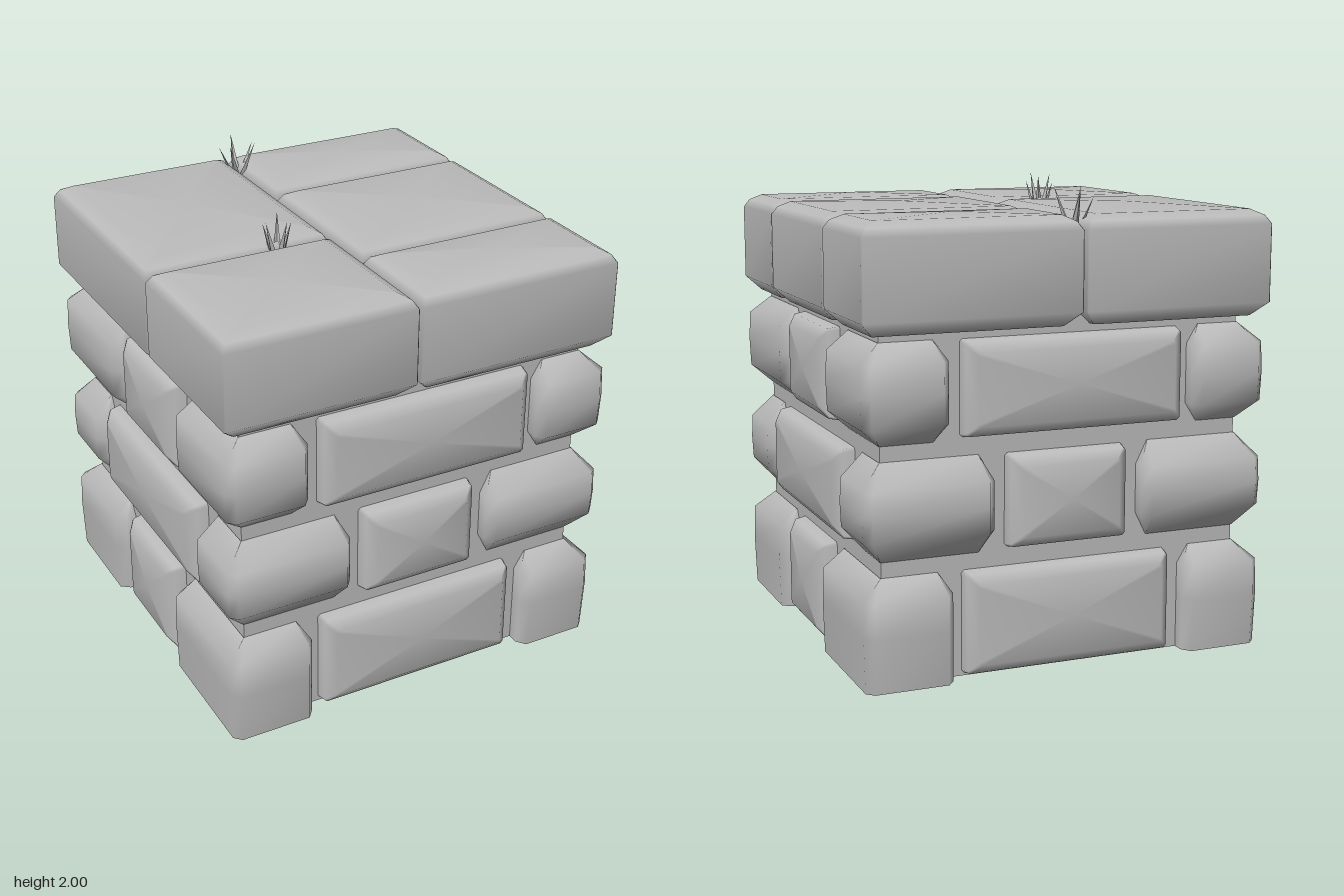
import * as THREE from 'three';

const WALL = 0.8; // half width of the hollow core
const TOP = 1.77; // height of the core

const stone = new THREE.MeshStandardMaterial({ color: 0xbcbcbc, side: THREE.DoubleSide });
stone.name = 'grey stone';

// Skins a list of cross-sections with shared vertices, so the stones shade smoothly.
function loft(rings, closed, capStart, capEnd) {
  const n = rings[0].length;
  const pos = rings.flat(2);
  const index = [];
  const last = closed ? n : n - 1;
  for (let i = 0; i < rings.length - 1; i++) {
    for (let j = 0; j < last; j++) {
      const k = (j + 1) % n;
      const a = i * n + j, b = i * n + k, c = a + n, d = b + n;
      index.push(a, b, d, a, d, c);
    }
  }
  const cap = (r, flip, lift) => {
    const centre = pos.length / 3;
    const sum = [0, 0, 0];
    rings[r].forEach((p) => p.forEach((v, i) => { sum[i] += v / n; }));
    pos.push(sum[0], sum[1], sum[2] + lift);
    for (let j = 0; j < n; j++) {
      const a = r * n + j, b = r * n + (j + 1) % n;
      if (flip) index.push(b, a, centre);
      else index.push(a, b, centre);
    }
  };
  if (capStart) cap(0, true, 0);
  if (capEnd) cap(rings.length - 1, false, 0.012);
  const geo = new THREE.BufferGeometry();
  geo.setAttribute('position', new THREE.Float32BufferAttribute(pos, 3));
  geo.setIndex(index);
  geo.computeVertexNormals();
  return geo;
}

function add(parent, name, geo) {
  const mesh = new THREE.Mesh(geo, stone);
  mesh.name = name;
  parent.add(mesh);
  return mesh;
}

// Rectangular stone rising along +z; profile rows are [depth, inset].
function blockGeometry(u0, u1, v0, v1, profile, c, capStart) {
  const rings = profile.map(([d, s]) => {
    const l = u0 + s, r = u1 - s, b = v0 + s, t = v1 - s;
    return [[l + c, b], [r - c, b], [r, b + c], [r, t - c],
      [r - c, t], [l + c, t], [l, t - c], [l, b + c]].map(([u, v]) => [u, v, d]);
  });
  return loft(rings, true, capStart, true);
}

// Open-backed stone wrapping the +x +z corner; a and b are its inner ends on each wall.
function cornerGeometry(a, b, y0, y1, h) {
  const ring = (y, s, d) => {
    const R = WALL + d, m = WALL + d * 0.55, c = d * 0.35;
    return [[a + s, WALL], [a + s, m], [a + s + c, R], [R - c, R],
      [R, R - c], [R, b + s + c], [m, b + s], [WALL, b + s]].map(([x, z]) => [x, y, z]);
  };
  const rings = y0 === 0
    ? [ring(0, 0, 0.09)]
    : [ring(y0, 0.05, 0.003), ring(y0 + h, 0, 0.092)];
  rings.push(ring((y0 + y1) / 2, 0, 0.097), ring(y1 - h, 0, 0.092), ring(y1, 0.05, 0.003));
  return loft(rings, false);
}

// One course: corner ends on the front (l, r) and the side (n = near front, f = far),
// then the middle stones of both walls.
const courses = [
  { y: [0, 0.455], l: 0.51, r: 0.54, n: 0.375, f: 0.265, front: [-0.455, 0.475], side: [-0.3, 0.205], h: 0.08 },
  { y: [0.52, 0.93], l: 0.33, r: 0.335, n: 0.55, f: 0.535, front: [-0.265, 0.27], side: [-0.51, 0.48], h: 0.1 },
  { y: [0.995, 1.41], l: 0.525, r: 0.565, n: 0.29, f: 0.365, front: [-0.46, 0.52], side: [-0.24, 0.3], h: 0.08 },
];

// Core wall with notches behind the corner stones.
function wallGeometry(leftKey, rightKey) {
  const edge = (key) => {
    const pts = [];
    courses.forEach((k) => {
      const [y0, y1] = k.y, u = k[key] + 0.06;
      if (y0 > 0) pts.push([WALL, y0 + 0.03], [u, y0 + 0.03]);
      else pts.push([u, 0]);
      pts.push([u, y1 - 0.03], [WALL, y1 - 0.03]);
    });
    pts.push([WALL, TOP]);
    return pts;
  };
  const left = edge(leftKey).reverse().map(([x, y]) => [-x, y]);
  const outline = [...edge(rightKey), ...left].map(([x, y]) => new THREE.Vector2(x, y));
  return new THREE.ShapeGeometry(new THREE.Shape(outline)).translate(0, 0, WALL);
}

// Front and right walls with their corners; the other half is the same turned around.
function halfBody() {
  const half = new THREE.Group();
  half.name = 'wallPair';
  const right = Math.PI / 2;
  add(half, 'coreWallFront', wallGeometry('l', 'r'));
  add(half, 'coreWallSide', wallGeometry('n', 'f')).rotation.y = right;
  const pillow = [[WALL, 0], [WALL + 0.05, 0.008], [WALL + 0.085, 0.05]];
  courses.forEach((k) => {
    const [y0, y1] = k.y;
    add(half, 'cornerStoneRight', cornerGeometry(k.r, k.n, y0, y1, k.h));
    add(half, 'cornerStoneLeft', cornerGeometry(k.f, k.l, y0, y1, k.h)).rotation.y = -right;
    add(half, 'middleStoneFront',
      blockGeometry(...k.front, y0 + 0.012, y1 - 0.003, pillow, 0.012, false));
    add(half, 'middleStoneSide',
      blockGeometry(...k.side, y0 + 0.012, y1 - 0.003, pillow, 0.012, false)).rotation.y = right;
  });
  return half;
}

// Tuft of folded, pointed blades leaning outwards.
function tuft(x, z, reach, turn) {
  const group = new THREE.Group();
  group.name = 'grassTuft';
  group.position.set(x, 1.81, z);
  const heights = [0.19, 0.16, 0.18, 0.15, 0.185];
  heights.forEach((height, i) => {
    const w = 0.02, r = reach * (i % 2 ? 0.85 : 1);
    const geo = new THREE.BufferGeometry();
    geo.setAttribute('position', new THREE.Float32BufferAttribute([
      -w, 0, 0.012, 0, 0, 0.03, 0, height, r,
      0, 0, 0.03, w, 0, 0.012, 0, height, r,
    ], 3));
    geo.computeVertexNormals();
    add(group, 'grassBlade', geo).rotation.y = turn + i * Math.PI * 2 / heights.length;
  });
  return group;
}

export function createModel() {
  const model = new THREE.Group();
  model.name = 'stonePillar';

  // Hollow body
  const front = halfBody();
  const back = halfBody();
  back.rotation.y = Math.PI;
  model.add(front, back);
  const lid = add(model, 'coreTop', new THREE.PlaneGeometry(WALL * 2, WALL * 2));
  lid.rotation.x = -Math.PI / 2;
  lid.position.y = TOP;

  // Five cap stones: x range, then z range
  const capProfile = [[1.44, 0.06], [1.5, 0], [1.83, 0], [1.865, 0.022], [1.89, 0.07]];
  [
    [-0.905, -0.052, -0.905, 0.148],
    [-0.905, -0.052, 0.162, 0.9],
    [-0.04, 0.9, -0.905, -0.398],
    [-0.04, 0.9, -0.382, 0.395],
    [-0.04, 0.9, 0.408, 0.9],
  ].forEach(([x0, x1, z0, z1]) => {
    const geo = blockGeometry(x0, x1, -z1, -z0, capProfile, 0.006, true);
    add(model, 'capStone', geo).rotation.x = -Math.PI / 2;
  });

  // Grass in the joints
  model.add(tuft(-0.045, -0.775, 0.1, 0.5), tuft(-0.305, 0.155, 0.075, 0.15));
  return model;
}
